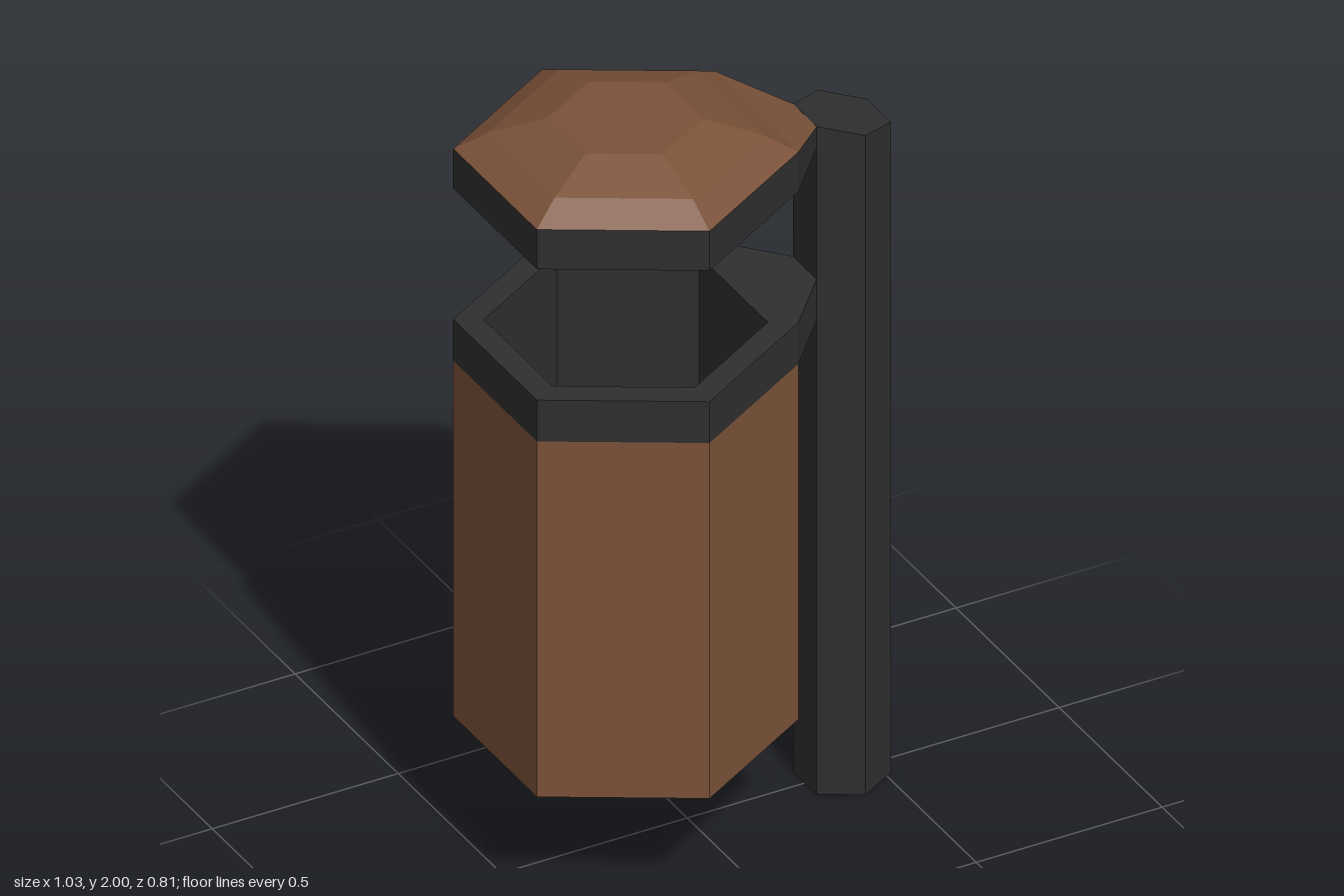
import * as THREE from 'three';

const BIN_X = -0.165, BIN_R = 0.406, POST_X = 0.416, POST_R = 0.115;

// Hexagonal ring of points with corners on the z axis, counter-clockwise from above
function hexRing(cx, r, y) {
  return Array.from({ length: 6 }, (_, k) => {
    const a = (k * Math.PI) / 3;
    return new THREE.Vector3(cx + r * Math.sin(a), y, r * Math.cos(a));
  });
}

// Bin hexagon with a tab that narrows towards the post
function tabbedRing(y, tabY) {
  const ring = hexRing(BIN_X, BIN_R, y);
  ring.splice(2, 0, new THREE.Vector3(0.316, tabY, 0.058), new THREE.Vector3(0.316, tabY, -0.058));
  return ring;
}

// Flat-faced geometry from a list of convex polygons
function fromPolygons(polygons) {
  const points = [];
  for (const p of polygons)
    for (let i = 1; i < p.length - 1; i++) points.push(p[0], p[i], p[i + 1]);
  const geometry = new THREE.BufferGeometry().setFromPoints(points);
  geometry.computeVertexNormals();
  return geometry;
}

// Polygons joining successive rings from bottom to top, with optional caps
function loft(rings, capBottom, capTop) {
  const polygons = [];
  for (let r = 0; r < rings.length - 1; r++) {
    const a = rings[r], b = rings[r + 1];
    a.forEach((p, i) => {
      const j = (i + 1) % a.length;
      polygons.push([p, a[j], b[j], b[i]]);
    });
  }
  if (capBottom) polygons.push([...rings[0]].reverse());
  if (capTop) polygons.push(rings[rings.length - 1]);
  return polygons;
}

export function createModel() {
  const model = new THREE.Group();
  const brown = new THREE.MeshStandardMaterial({ color: 0x7b5239 });
  brown.name = 'brown wood';
  const black = new THREE.MeshStandardMaterial({ color: 0x2f2f2f });
  black.name = 'black metal';

  const add = (name, geometry, material) => {
    const mesh = new THREE.Mesh(geometry, material);
    mesh.name = name;
    model.add(mesh);
  };
  const hex = (r, y) => hexRing(BIN_X, r, y);

  // Post with a top that slopes down away from the bin
  const postTop = hexRing(POST_X, POST_R, 1.836);
  postTop.forEach((p) => { p.y -= (p.x - POST_X) * 0.24; });
  add('post', fromPolygons(loft([hexRing(POST_X, POST_R, 0), postTop], true, true)), black);

  // Bin body and its dark hollow inside
  add('binBody', fromPolygons(loft([hex(BIN_R, 0.33), hex(BIN_R, 1.32)], true, false)), brown);
  const liner = [hex(0.334, 0.4), hex(0.334, 1.32)].map((ring) => ring.reverse());
  add('binLiner', fromPolygons(loft(liner, true, false)), black);

  // Collar around the opening, reaching to the post
  const flat = (ring) => ring.map((p) => new THREE.Vector2(p.x, -p.z));
  const collarShape = new THREE.Shape(flat(tabbedRing(0, 0)));
  collarShape.holes.push(new THREE.Path(flat(hex(0.334, 0)).reverse()));
  const collar = new THREE.ExtrudeGeometry(collarShape, { depth: 0.115, bevelEnabled: false });
  collar.rotateX(-Math.PI / 2).translate(0, 1.32, 0);
  add('collar', collar, black);

  // Lid rim, with its tab sloping down to the post
  const rimTop = tabbedRing(1.91, 1.86);
  add('lidRim', fromPolygons(loft([tabbedRing(1.8, 1.8), rimTop], true, false)), black);

  // Stepped roof and the sloping top of the tab
  const roof = loft([hex(BIN_R, 1.91), hex(0.325, 1.955), hex(0.182, 2)], false, true);
  roof.push(rimTop.slice(1, 5));
  add('lidRoof', fromPolygons(roof), brown);

  return model;
}
